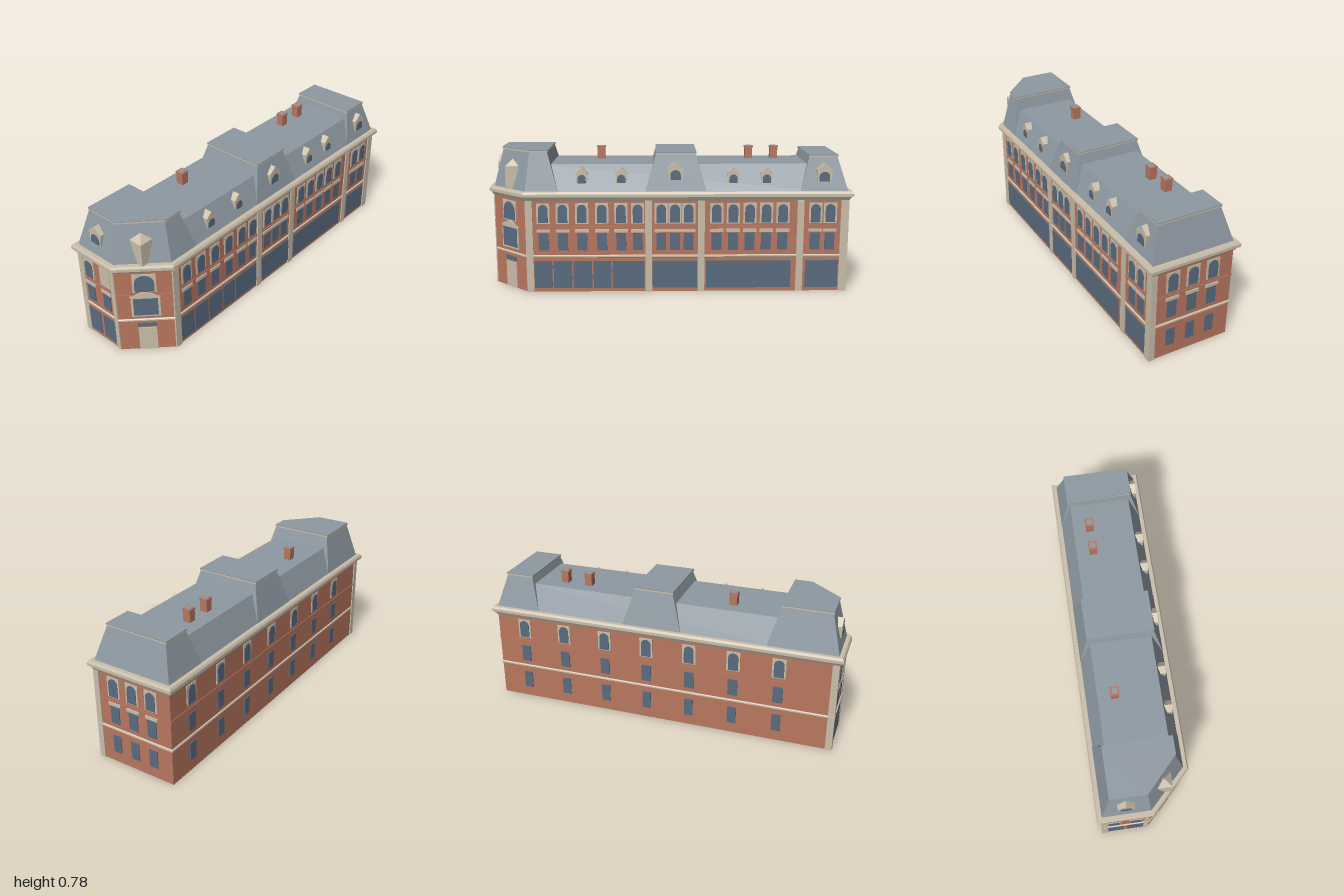
import * as THREE from 'three';

const mat = (name, color, side = THREE.FrontSide) => {
  const m = new THREE.MeshStandardMaterial({ color, side });
  m.name = name;
  return m;
};

export function createModel() {
  const brick = mat('brick', 0xb8775f, THREE.DoubleSide);
  const trim = mat('cream stone', 0xcbbfab);
  const slate = mat('slate', 0x8e99a2);
  const glass = mat('blue glass', 0x5a6c80);
  const building = new THREE.Group();
  building.name = 'cornerBuilding';

  const add = (parent, name, geo, material) => {
    const m = new THREE.Mesh(geo, material);
    m.name = name;
    parent.add(m);
    return m;
  };
  const box = (name, material, x0, x1, y0, y1, z0, z1, parent = building) => {
    const m = add(parent, name, new THREE.BoxGeometry(x1 - x0, y1 - y0, z1 - z0), material);
    m.position.set((x0 + x1) / 2, (y0 + y1) / 2, (z0 + z1) / 2);
    return m;
  };

  // Stacked plan outlines joined with flat faces; caps optional
  const loft = (rings, caps = true) => {
    const v = [];
    const put = (...ps) => ps.forEach(([r, i]) => v.push(r.pts[i][0], r.y, r.pts[i][1]));
    const n = rings[0].pts.length;
    for (let k = 0; k + 1 < rings.length; k++) {
      const a = rings[k], b = rings[k + 1];
      for (let i = 0; i < n; i++) {
        const j = (i + 1) % n;
        put([a, i], [b, i], [b, j], [a, i], [b, j], [a, j]);
      }
    }
    const lo = rings[0], hi = rings[rings.length - 1];
    for (let i = 1; caps && i + 1 < n; i++) {
      put([lo, 0], [lo, i], [lo, i + 1]);
      put([hi, 0], [hi, i + 1], [hi, i]);
    }
    const g = new THREE.BufferGeometry();
    g.setAttribute('position', new THREE.Float32BufferAttribute(v, 3));
    g.computeVertexNormals();
    return g;
  };

  // Building outline with a cut corner, grown outward by d
  const plan = (d) => {
    const k = 0.414 * d;
    return [[-0.23 - d, -0.975 - d], [0.23 + d, -0.975 - d], [0.23 + d, 0.775 + k],
      [0.03 + k, 0.975 + d], [-0.23 - d, 0.975 + d]];
  };
  const rect = (x, z0, z1) => [[-x, z0], [x, z0], [x, z1], [-x, z1]];
  const ring = (y, d) => ({ y, pts: plan(d) });

  // Walls (open underneath), belts and cornice
  add(building, 'walls', loft([ring(0, 0), ring(0.515, 0)], false), brick);
  add(building, 'floorBelt', loft([ring(0.192, 0.002), ring(0.196, 0.007), ring(0.204, 0.007), ring(0.208, 0.002)]), trim);
  add(building, 'upperBelt', loft([ring(0.359, 0.004), ring(0.366, 0.004)]), brick);
  add(building, 'cornice', loft([ring(0.508, 0.004), ring(0.532, 0.018), ring(0.532, 0.025),
    ring(0.548, 0.025), ring(0.56, 0.018)]), trim);

  // Corner and bay pilasters
  box('pilaster', trim, -0.236, -0.2, 0, 0.51, 0.945, 0.981);
  box('pilaster', trim, 0, 0.027, 0, 0.51, 0.95, 0.981);
  for (const [z0, z1] of [[0.738, 0.777], [0.09, 0.127], [-0.197, -0.16], [-0.737, -0.7], [-0.981, -0.937]]) {
    box('pilaster', trim, 0.205, 0.237, 0, 0.51, z0, z1);
  }

  // Mansard roofs with edged caps
  const roof = (name, y, base, top) => {
    add(building, name, loft([{ y: 0.555, pts: base }, { y, pts: top }]), slate);
    const cx = top.reduce((s, p) => s + p[0], 0) / top.length;
    const cz = top.reduce((s, p) => s + p[1], 0) / top.length;
    const grow = top.map(([x, z]) => [x + 0.005 * Math.sign(x - cx), z + 0.005 * Math.sign(z - cz)]);
    add(building, name + 'Edge', loft([{ y: y - 0.003, pts: grow }, { y: y + 0.005, pts: grow }]), trim);
    add(building, name + 'Cap', loft([{ y: y + 0.005, pts: grow }, { y: y + 0.009, pts: grow }]), slate);
  };
  add(building, 'mainRoof', loft([{ y: 0.555, pts: rect(0.228, -0.85, 0.7) }, { y: 0.7, pts: rect(0.166, -0.85, 0.7) }]), slate);
  roof('cornerTowerRoof', 0.769,
    [[-0.229, 0.595], [0.229, 0.595], [0.229, 0.775], [0.03, 0.974], [-0.229, 0.974]],
    [[-0.176, 0.656], [0.176, 0.656], [0.176, 0.752], [0.01, 0.918], [-0.176, 0.918]]);
  roof('middleRoof', 0.757, rect(0.229, -0.207, 0.127), rect(0.176, -0.148, 0.066));
  roof('backTowerRoof', 0.742, rect(0.229, -0.974, -0.715), rect(0.176, -0.918, -0.766));

  // Chimneys
  for (const z of [0.378, -0.46, -0.603]) {
    box('chimney', brick, -0.096, -0.054, 0.69, 0.764, z - 0.021, z + 0.021);
    box('chimneyRim', brick, -0.099, -0.051, 0.762, 0.77, z - 0.024, z + 0.024);
    box('chimneyTop', slate, -0.09, -0.06, 0.768, 0.772, z - 0.015, z + 0.015);
  }

  // Wall frames: local x runs along the wall, local z points outward
  const facade = (name, x, z, angle) => {
    const g = new THREE.Group();
    g.name = name;
    g.position.set(x, 0, z);
    g.rotation.y = angle;
    building.add(g);
    return g;
  };
  const plate = (g, name, material, x, w, y0, y1, out = 0.004) =>
    box(name, material, x - w / 2, x + w / 2, y0, y1, -0.002, out, g);
  const archPane = (g, x, w, y0, y1, out) => {
    const r = w / 2, s = new THREE.Shape();
    s.moveTo(-r, y0);
    s.lineTo(r, y0);
    s.lineTo(r, y1 - r);
    s.absarc(0, y1 - r, r, 0, Math.PI);
    const m = add(g, 'archedPane', new THREE.ExtrudeGeometry(s, { depth: 0.004, bevelEnabled: false, curveSegments: 8 }), glass);
    m.position.set(x, 0, out - 0.004);
  };
  const upperWindow = (g, x, w = 0.075) => {
    plate(g, 'windowSurround', trim, x, w, 0.383, 0.496);
    archPane(g, x, w - 0.02, 0.388, 0.488, 0.007);
  };
  const middleWindow = (g, x, lintel = true) => {
    plate(g, 'middlePane', glass, x, 0.054, 0.234, 0.33);
    if (lintel) plate(g, 'lintel', trim, x, 0.075, 0.335, 0.352, 0.006);
  };
  const smallWindow = (g, x) => plate(g, 'groundPane', glass, x, 0.05, 0.06, 0.16);

  // Front
  const front = facade('frontFacade', 0, 0.975, 0);
  upperWindow(front, -0.162);
  plate(front, 'blankPanel', trim, -0.043, 0.075, 0.383, 0.496);
  middleWindow(front, -0.162);
  middleWindow(front, -0.045);
  plate(front, 'shopPane', glass, -0.157, 0.086, 0.025, 0.17);
  plate(front, 'shopPane', glass, -0.046, 0.09, 0.025, 0.17);

  // Cut corner with entrance
  const corner = facade('cornerFacade', 0.13, 0.875, Math.PI / 4);
  upperWindow(corner, 0, 0.12);
  plate(corner, 'windowSurround', trim, 0, 0.148, 0.225, 0.355);
  plate(corner, 'cornerPane', glass, 0, 0.124, 0.235, 0.342, 0.007);
  const gable = new THREE.Shape([[-0.08, 0.354], [0.08, 0.354], [0, 0.386]].map(p => new THREE.Vector2(...p)));
  add(corner, 'pediment', new THREE.ExtrudeGeometry(gable, { depth: 0.008, bevelEnabled: false }), trim);
  plate(corner, 'door', trim, 0, 0.095, 0, 0.147);
  plate(corner, 'transom', glass, 0, 0.097, 0.156, 0.178);

  // Long street side (local x = -z)
  const street = facade('streetFacade', 0.23, 0, Math.PI / 2);
  for (const z of [0.68, 0.575, 0.47, 0.362, 0.258, 0.168, 0.04, -0.035, -0.11,
    -0.262, -0.352, -0.442, -0.532, -0.622, -0.8, -0.88]) {
    upperWindow(street, -z, 0.072);
    middleWindow(street, -z);
  }
  for (const [a, b] of [[0.735, 0.638], [0.63, 0.53], [0.522, 0.42], [0.412, 0.315], [0.307, 0.132],
    [0.088, -0.16], [-0.207, -0.672], [-0.752, -0.932]]) {
    plate(street, 'shopPane', glass, -(a + b) / 2, a - b, 0.02, 0.173);
  }

  // Back and plain long side
  const back = facade('backFacade', 0, -0.975, Math.PI);
  for (const x of [-0.115, 0, 0.115]) {
    upperWindow(back, x);
    middleWindow(back, x);
    smallWindow(back, x);
  }
  const plain = facade('plainFacade', -0.23, 0, -Math.PI / 2);
  for (let i = 0; i < 7; i++) {
    const z = -0.81 + i * 0.247;
    upperWindow(plain, z);
    middleWindow(plain, z, false);
    smallWindow(plain, z);
  }

  // Gabled dormers with arched panes
  const dormer = (x, z, angle, y, w, h) => {
    const g = facade('dormer', x, z, angle);
    const a = w * 0.43, e = w / 2;
    const s = new THREE.Shape([[-a, y], [a, y], [e, y + h * 0.64], [0, y + h], [-e, y + h * 0.64]]
      .map(p => new THREE.Vector2(...p)));
    const m = add(g, 'dormerBody', new THREE.ExtrudeGeometry(s, { depth: 0.06, bevelEnabled: false }), trim);
    m.position.z = -0.06;
    archPane(g, 0, w * 0.67, y + 0.001, y + h * 0.53, 0.003);
  };
  dormer(-0.1, 0.963, 0, 0.62, 0.087, 0.1);
  dormer(0.216, -0.038, Math.PI / 2, 0.62, 0.085, 0.1);
  dormer(0.218, -0.845, Math.PI / 2, 0.61, 0.085, 0.1);
  for (const z of [0.468, 0.255, -0.352, -0.532]) dormer(0.213, z, Math.PI / 2, 0.602, 0.065, 0.088);

  // Corner dormer set square into the angled roof
  box('cornerDormer', trim, 0.07, 0.147, 0.56, 0.686, 0.815, 0.89);
  const hip = new THREE.ConeGeometry(0.0535, 0.037, 4, 1, false, Math.PI / 4).toNonIndexed();
  hip.computeVertexNormals();
  add(building, 'cornerDormerRoof', hip, trim).position.set(0.1085, 0.7045, 0.8525);

  return building;
}
